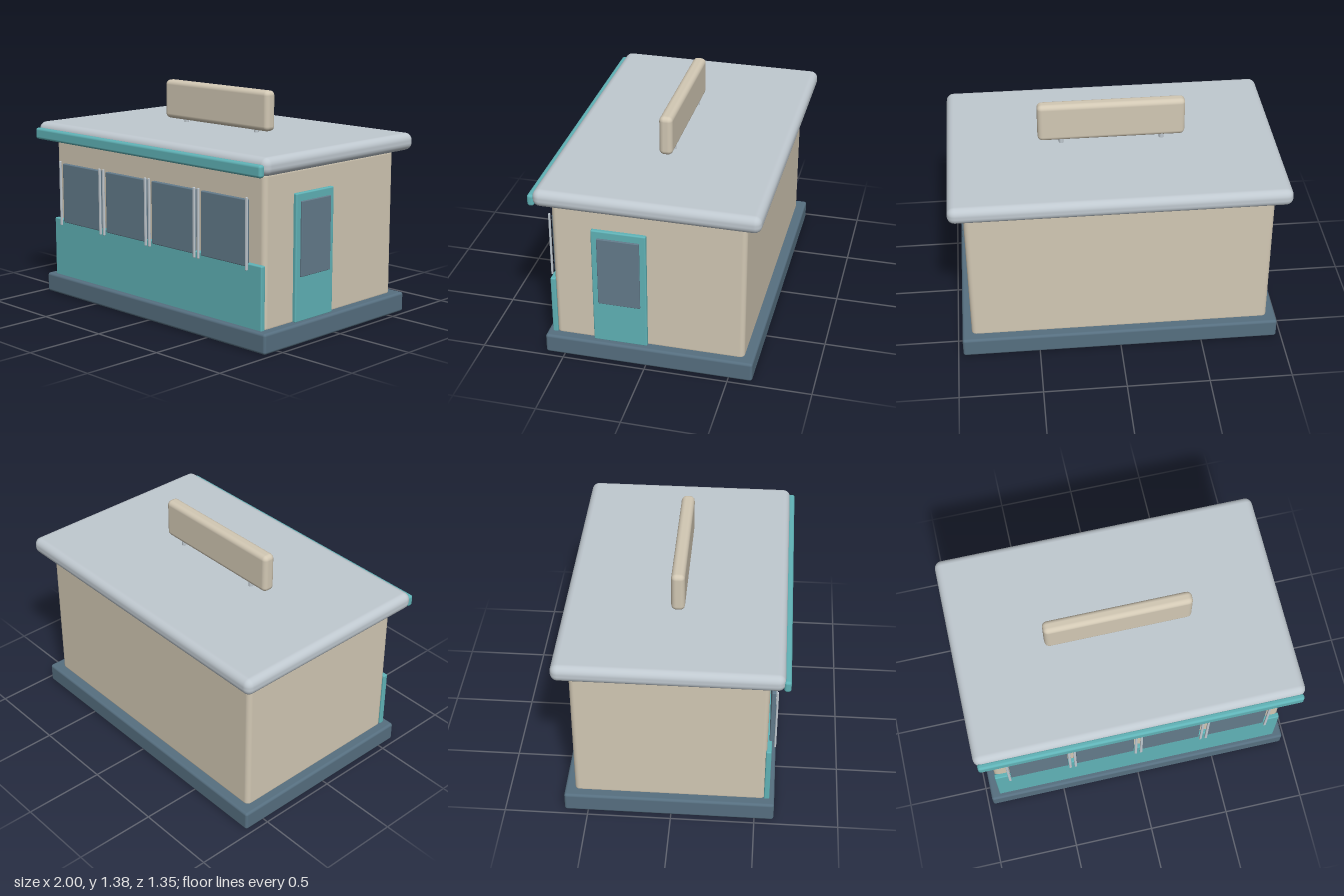
import * as THREE from 'three';
import { RoundedBoxGeometry } from 'three/addons/geometries/RoundedBoxGeometry.js';

const paint = (name, color) => {
  const m = new THREE.MeshStandardMaterial({ color });
  m.name = name;
  return m;
};

export function createModel() {
  const cream = paint('cream wall', 0xd2c8b4);
  const teal = paint('teal trim', 0x60b3b7);
  const slate = paint('slate base', 0x566f80);
  const glass = paint('blue grey glass', 0x637b8b);
  const metal = paint('pale metal', 0xc0c9d0);

  const group = new THREE.Group();

  // Rounded box given by its [min, max] extent on each axis
  const block = (name, mat, [x0, x1], [y0, y1], [z0, z1], radius) => {
    const geo = new RoundedBoxGeometry(x1 - x0, y1 - y0, z1 - z0, 3, radius);
    const mesh = new THREE.Mesh(geo, mat);
    mesh.position.set((x0 + x1) / 2, (y0 + y1) / 2, (z0 + z1) / 2);
    mesh.name = name;
    group.add(mesh);
  };

  // Building shell
  block('base', slate, [-0.97, 0.97], [0, 0.122], [-0.642, 0.616], 0.016);
  block('walls', cream, [-0.912, 0.912], [0.1, 1.02], [-0.582, 0.56], 0.03);
  block('roof', metal, [-1, 1], [1.013, 1.118], [-0.672, 0.644], 0.045);
  block('fascia', teal, [-0.982, 0.982], [1.01, 1.082], [0.634, 0.675], 0.016);
  block('frontPanel', teal, [-0.914, 0.914], [0.115, 0.495], [0.553, 0.586], 0.008);

  // Front windows, each flanked by two thin bars
  for (let i = 0; i < 4; i++) {
    const x = -0.63 + i * 0.418;
    block('window', glass, [x - 0.182, x + 0.182], [0.478, 0.86], [0.571, 0.596], 0.006);
    for (const s of [-1, 1]) {
      const bx = x + s * 0.192;
      block('windowBar', metal, [bx - 0.008, bx + 0.008], [0.46, 0.876], [0.599, 0.611], 0.004);
    }
  }

  // Side door
  block('door', teal, [0.9, 0.934], [0.118, 0.872], [-0.003, 0.322], 0.008);
  block('doorWindow', glass, [0.925, 0.945], [0.385, 0.825], [0.034, 0.286], 0.004);

  // Roof sign board on two posts
  block('signBoard', cream, [-0.447, 0.447], [1.137, 1.382], [-0.035, 0.046], 0.03);
  for (const x of [-0.305, 0.305]) {
    const post = new THREE.Mesh(new THREE.CylinderGeometry(0.015, 0.015, 0.09, 16), metal);
    post.position.set(x, 1.14, -0.013);
    post.name = 'signPost';
    group.add(post);
  }

  return group;
}
